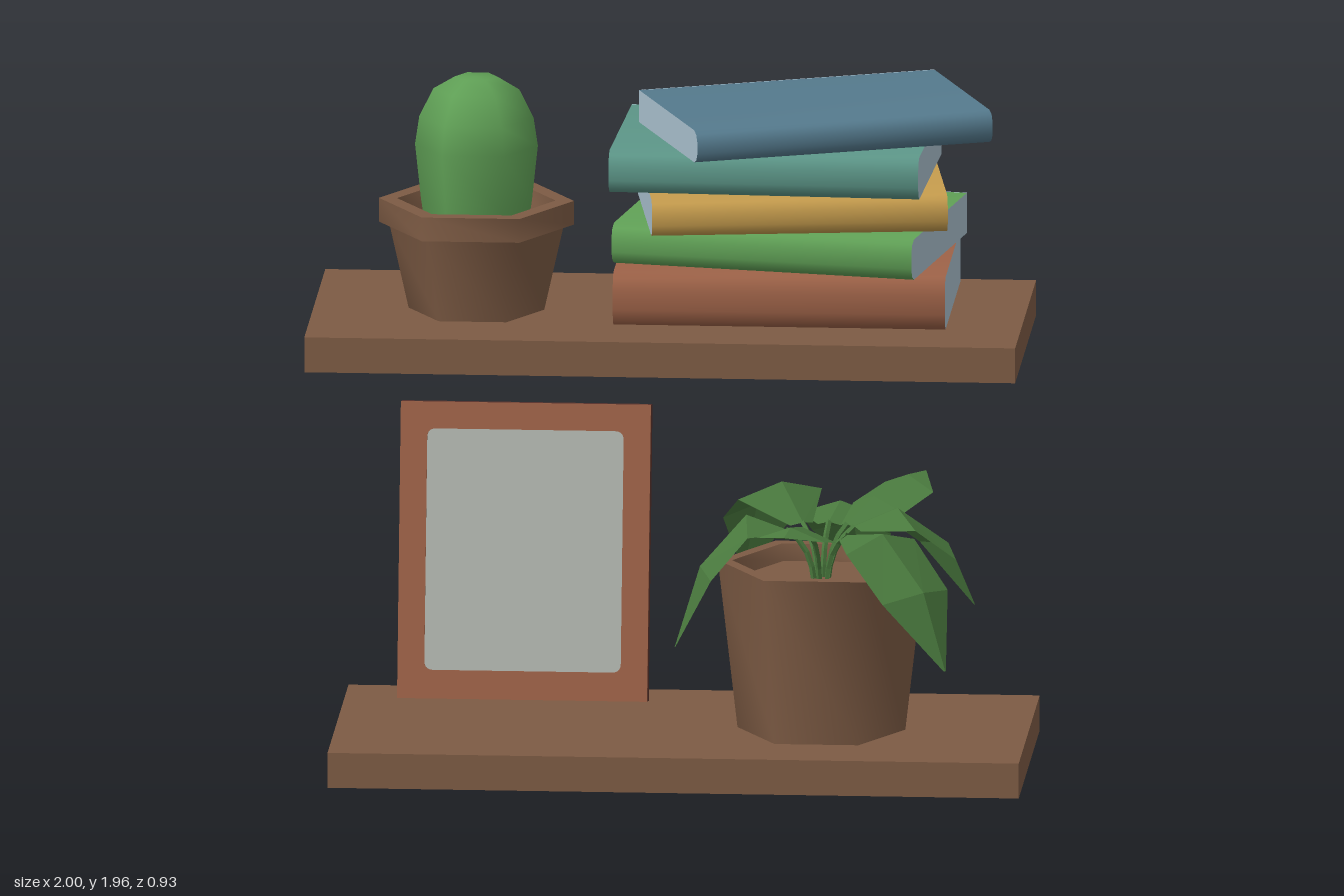
import * as THREE from 'three';
import { toCreasedNormals } from 'three/addons/utils/BufferGeometryUtils.js';

const mat = (name, color, opts = {}) => {
  const m = new THREE.MeshStandardMaterial({ color, ...opts });
  m.name = name;
  return m;
};

export function createModel() {
  const root = new THREE.Group();
  root.name = 'shelves';

  const wood = mat('brown wood and clay', 0x7d5b44, { side: THREE.DoubleSide });
  const pages = mat('pale blue pages', 0xa9c0cd);
  const rust = mat('rust', 0x9a6046);
  const darkWood = mat('dark red wood', 0x5a322c);
  const grey = mat('grey picture', 0xaeb2ac);
  const leafGreen = mat('leaf green', 0x4a7a3e, { side: THREE.DoubleSide, flatShading: true });
  const green = mat('bright green', 0x5f9f55);
  const yellow = mat('ochre', 0xc39a4c);
  const teal = mat('teal', 0x5b9486);
  const blue = mat('slate blue', 0x54798c);

  const add = (parent, name, geo, material, x = 0, y = 0, z = 0) => {
    const m = new THREE.Mesh(geo, material);
    m.name = name;
    m.position.set(x, y, z);
    parent.add(m);
    return m;
  };
  const group = (name, x, y, z) => {
    const g = new THREE.Group();
    g.name = name;
    g.position.set(x, y, z);
    root.add(g);
    return g;
  };

  // Shelf boards, open at the back
  const shelf = (name, x0, x1, y) => {
    const geo = new THREE.BoxGeometry(x1 - x0, 0.1, 0.85);
    geo.setIndex(Array.from(geo.index.array).slice(0, 30));
    geo.clearGroups();
    add(root, name, geo, wood, (x0 + x1) / 2, y + 0.05, 0.045);
  };
  shelf('lowerShelf', -0.935, 1, 0);
  shelf('upperShelf', -1, 0.99, 1.19);

  // Six-sided turned shapes with corners on the x axis
  const hexLathe = (pts) =>
    new THREE.LatheGeometry(pts.map(([r, y]) => new THREE.Vector2(r, y)), 6, Math.PI / 2);

  // Cactus in a rimmed pot
  const cactus = group('cactusPlant', -0.545, 1.29, 0.08);
  add(cactus, 'cactusPot', toCreasedNormals(hexLathe([
    [0, 0], [0.19, 0], [0.245, 0.245], [0.273, 0.245], [0.273, 0.313],
    [0.222, 0.313], [0.205, 0.24], [0, 0.24],
  ]), 1.1), wood);
  add(cactus, 'cactus', hexLathe([
    [0.13, 0.15], [0.155, 0.31], [0.172, 0.47], [0.16, 0.55], [0.12, 0.63], [0.06, 0.665], [0, 0.667],
  ]), green);

  // Books: cover wraps round a rounded spine, pages fill the ends and fore edge
  const book = (name, cover, x, y, z, len, h, d, turn) => {
    const g = group(name, x, y, z);
    g.rotation.y = turn;
    const s = new THREE.Shape();
    const r = 0.03, f = d / 2;
    s.moveTo(-f, 0);
    s.lineTo(f - r, 0);
    s.lineTo(f - r * 0.35, h * 0.1);
    s.lineTo(f, h * 0.32);
    s.lineTo(f, h * 0.68);
    s.lineTo(f - r * 0.35, h * 0.9);
    s.lineTo(f - r, h);
    s.lineTo(-f, h);
    s.closePath();
    const geo = new THREE.ExtrudeGeometry(s, { depth: len, bevelEnabled: false });
    geo.rotateY(-Math.PI / 2);
    geo.translate(len / 2, 0, 0);
    add(g, 'cover', toCreasedNormals(geo, 0.9), [pages, cover]);
    add(g, 'foreEdge', new THREE.BoxGeometry(len, h, 0.004), pages, 0, h / 2, -f);
  };
  book('rustBook', rust, 0.315, 1.29, -0.04, 0.93, 0.15, 0.64, 0);
  book('greenBook', green, 0.32, 1.44, -0.07, 0.864, 0.115, 0.63, -0.18);
  book('ochreBook', yellow, 0.33, 1.555, -0.045, 0.828, 0.105, 0.62, 0.14);
  book('tealBook', teal, 0.282, 1.66, -0.045, 0.87, 0.12, 0.6, -0.04);
  book('blueBook', blue, 0.397, 1.78, -0.04, 0.863, 0.092, 0.552, 0.368);

  // Leaning picture frame
  const frame = group('pictureFrame', -0.432, 0.115, -0.165);
  frame.rotation.x = -0.187;
  add(frame, 'frameBack', new THREE.BoxGeometry(0.7, 0.83, 0.06), darkWood, 0, 0.415, -0.005);
  const rect = (path, w, y0, y1, r) => {
    const x = w / 2;
    path.moveTo(-x + r, y0);
    path.lineTo(x - r, y0);
    path.quadraticCurveTo(x, y0, x, y0 + r);
    path.lineTo(x, y1 - r);
    path.quadraticCurveTo(x, y1, x - r, y1);
    path.lineTo(-x + r, y1);
    path.quadraticCurveTo(-x, y1, -x, y1 - r);
    path.lineTo(-x, y0 + r);
    path.quadraticCurveTo(-x, y0, -x + r, y0);
    return path;
  };
  const border = rect(new THREE.Shape(), 0.7, 0, 0.83, 0.001);
  border.holes.push(rect(new THREE.Path(), 0.55, 0.08, 0.755, 0.025));
  add(frame, 'frameFront', new THREE.ExtrudeGeometry(border, { depth: 0.009, bevelEnabled: false }),
    rust, 0, 0, 0.025);
  add(frame, 'picture', new THREE.BoxGeometry(0.56, 0.685, 0.004), grey, 0, 0.4175, 0.027);

  // Leafy plant in a plain pot
  const plant = group('leafyPlant', 0.42, 0, 0.07);
  add(plant, 'plantPot', toCreasedNormals(hexLathe([
    [0, 0.1], [0.235, 0.1], [0.29, 0.578], [0.25, 0.578], [0.24, 0.53], [0, 0.53],
  ]), 1.1), wood);

  // A leaf follows an arched path; its edges hang below the midrib
  const outline = [[0, 0.035], [0.3, 0.13], [0.72, 0.125], [1, 0.004]];
  const leaf = (azimuth, reach, archY, tipY, size = 1) => {
    const g = new THREE.Group();
    g.name = 'leaf';
    g.rotation.y = -azimuth * Math.PI / 180;
    plant.add(g);
    const start = new THREE.Vector3(0.1, 0.67, 0);
    const curve = new THREE.QuadraticBezierCurve3(
      start, new THREE.Vector3(reach * 0.72, archY, 0), new THREE.Vector3(reach, tipY, 0));
    const pos = [], idx = [];
    outline.forEach(([t, w], i) => {
      const p = curve.getPoint(t);
      const n = curve.getTangent(t);
      const drop = w * 0.3;
      for (const s of [1, 0, -1]) {
        const k = s ? drop : 0;
        pos.push(p.x + n.y * k, p.y - n.x * k, s * w * size);
      }
      if (i) {
        for (let j = 0; j < 2; j++) {
          const a = (i - 1) * 3 + j, b = a + 3;
          idx.push(a, b, a + 1, a + 1, b, b + 1);
        }
      }
    });
    const geo = new THREE.BufferGeometry();
    geo.setAttribute('position', new THREE.Float32BufferAttribute(pos, 3));
    geo.setIndex(idx);
    geo.computeVertexNormals();
    add(g, 'blade', geo, leafGreen);
    const stem = new THREE.QuadraticBezierCurve3(
      new THREE.Vector3(0.02, 0.52, 0), new THREE.Vector3(0.03, 0.63, 0), start);
    add(g, 'stem', new THREE.TubeGeometry(stem, 4, 0.008, 4), leafGreen);
  };
  // azimuth (from +x towards +z), reach, arch height, tip height, width
  [
    [40, 0.48, 0.8, 0.34, 1.05],
    [-28, 0.47, 0.82, 0.41, 1],
    [-82, 0.53, 0.78, 0.44, 0.9],
    [178, 0.41, 0.84, 0.33, 1],
    [235, 0.42, 0.94, 0.47, 1.05],
    [102, 0.38, 0.78, 0.73, 0.8],
    [-50, 0.42, 0.79, 0.77, 0.75],
  ].forEach((a) => leaf(...a));

  return root;
}
